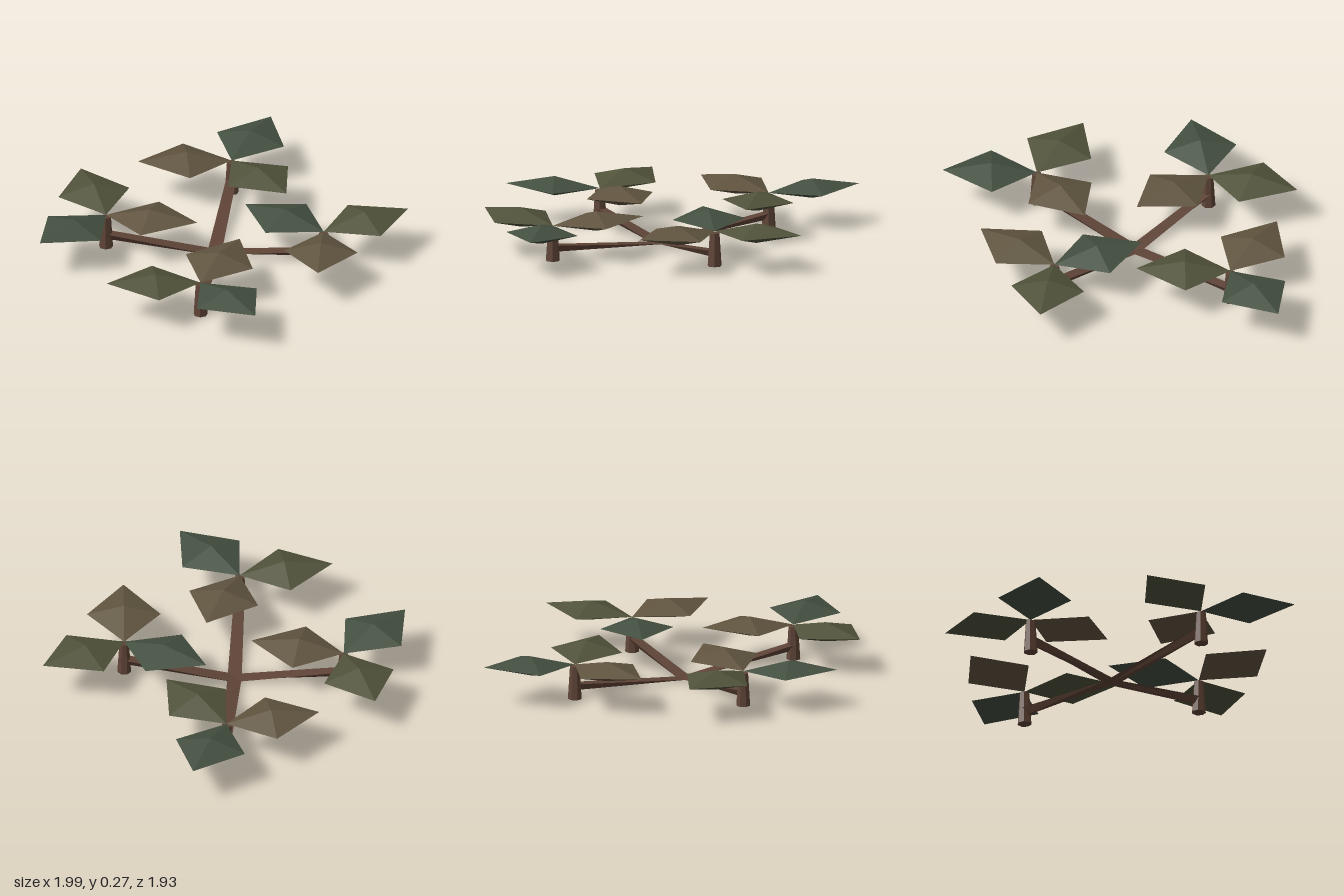
import * as THREE from 'three';

const mat = color => new THREE.MeshStandardMaterial({ color, flatShading: true });

// Thick kite-shaped leaf along +x: a flattened octahedron, tilted slightly upwards
function leafGeometry() {
  const geo = new THREE.OctahedronGeometry(1, 0);
  geo.scale(0.265, 0.056, 0.207);
  const p = geo.attributes.position;
  for (let i = 0; i < p.count; i++) {
    const x = p.getX(i);
    // The widest point sits a little nearer the stem than the tip
    const shift = Math.abs(x) < 0.01 ? -0.01 : 0;
    p.setXYZ(i, x + 0.265 + shift, p.getY(i) + 0.211 + x * 0.04, p.getZ(i));
  }
  geo.computeVertexNormals();
  return geo;
}

// Root along +x: flat top over a keel, rising and thickening towards the stem
function rootGeometry(length) {
  const geo = new THREE.BoxGeometry(1, 1, 1);
  const p = geo.attributes.position;
  for (let i = 0; i < p.count; i++) {
    const t = p.getX(i) + 0.5;
    const top = p.getY(i) > 0;
    const y = top ? 0.006 + 0.084 * t : 0.05 * t;
    const width = (0.08 - 0.022 * t) * (top ? 1 : 0.15);
    p.setXYZ(i, t * length, y, p.getZ(i) * width);
  }
  geo.computeVertexNormals();
  return geo;
}

export function createModel() {
  const model = new THREE.Group();
  const wood = mat(0x5f4437);
  const leafMats = [0x50523a, 0x60543f, 0x434f40].map(mat);
  const leafGeo = leafGeometry();
  const stemGeo = new THREE.CylinderGeometry(0.028, 0.04, 0.19, 7).translate(0, 0.095, 0);
  const centre = [-0.08, -0.01];

  // Each sprout: x, z, heading of its first leaf in degrees
  const sprouts = [[-0.615, -0.51, 0], [0.375, -0.44, 279], [0.465, 0.475, 120], [-0.5, 0.44, 200]];
  for (const [x, z, heading] of sprouts) {
    const sprout = new THREE.Group();
    sprout.name = 'sprout';
    sprout.position.set(x, 0, z);
    const stem = new THREE.Mesh(stemGeo, wood);
    stem.name = 'stem';
    sprout.add(stem);

    // Three leaves around the stem top
    leafMats.forEach((material, i) => {
      const leaf = new THREE.Mesh(leafGeo, material);
      leaf.name = 'leaf';
      leaf.rotation.y = -THREE.MathUtils.degToRad(heading + i * 120);
      sprout.add(leaf);
    });
    model.add(sprout);

    // Root joining the stem to the shared centre
    const dx = x - centre[0], dz = z - centre[1];
    const root = new THREE.Mesh(rootGeometry(Math.hypot(dx, dz)), wood);
    root.name = 'root';
    root.position.set(centre[0], 0, centre[1]);
    root.rotation.y = -Math.atan2(dz, dx);
    model.add(root);
  }
  return model;
}
